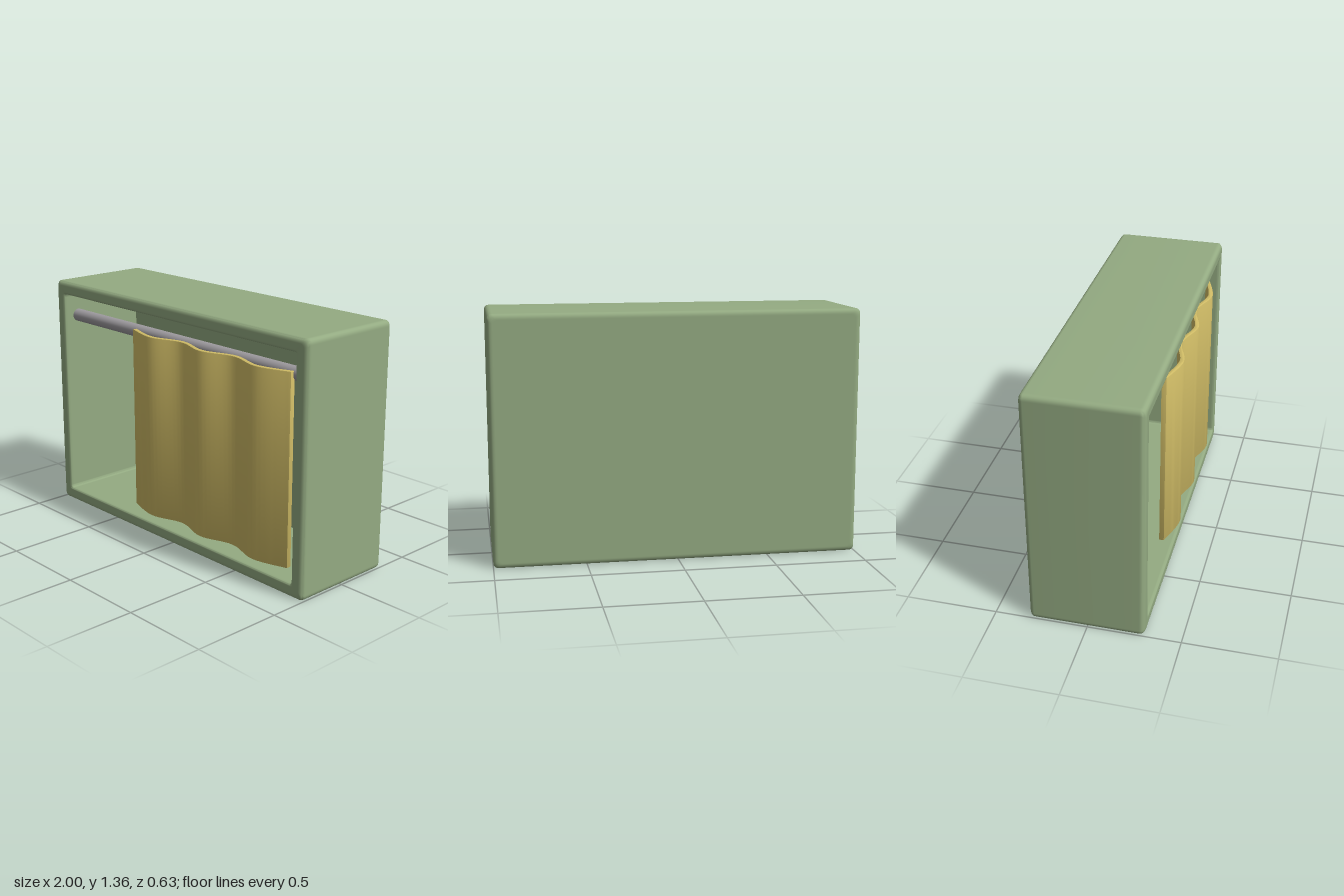
import * as THREE from 'three';
import { toCreasedNormals } from 'three/addons/utils/BufferGeometryUtils.js';

const HEIGHT = 1.355, BACK = -0.313, FRONT = 0.306, INNER_BACK = -0.23, WALL = 0.075;

// Rounded rectangle, counter-clockwise, inset from the outer case size.
function loop(inset, radius, z) {
  const hw = 1 - inset, hh = HEIGHT / 2 - inset, pts = [];
  const centre = [[1, 1], [-1, 1], [-1, -1], [1, -1]];
  centre.forEach(([sx, sy], k) => {
    const cx = sx * (hw - radius), cy = sy * (hh - radius);
    const at = (a, slide) => pts.push([
      cx + radius * Math.cos(a) + slide * Math.sin(a),
      cy + radius * Math.sin(a) - slide * Math.cos(a), z]);
    const a0 = k * Math.PI / 2;
    at(a0, 0.006);
    for (let i = 0; i <= 4; i++) at(a0 + i * Math.PI / 8, 0);
    at(a0 + Math.PI / 2, -0.006);
  });
  return pts;
}

// Hollow case: rows run from the back centre, round the rim, to the inner back.
function caseGeometry() {
  const R = 0.025, r = 0.012, rows = [];
  const add = (inset, z, radius) => rows.push(loop(inset, radius, z));
  const centre = z => rows.push(loop(0, R, 0).map(() => [0, 0, z]));
  const arc = (inset, z, rad, from, cornerRadius) => {
    for (let i = 0; i <= 4; i++) {
      const a = from + i * Math.PI / 8;
      add(inset - rad * Math.cos(a), z + rad * Math.sin(a), cornerRadius);
    }
  };
  centre(BACK);
  add(R + 0.006, BACK, R);
  arc(R, BACK + R, R, -Math.PI / 2, R);
  rows.splice(2, 5);
  for (let i = 0; i <= 4; i++) {
    const a = i * Math.PI / 8;
    add(R - R * Math.sin(a), BACK + R - R * Math.cos(a), R);
  }
  add(0, BACK + R + 0.006, R);
  add(0, FRONT - R - 0.006, R);
  for (let i = 0; i <= 4; i++) {
    const a = i * Math.PI / 8;
    add(R - R * Math.cos(a), FRONT - R + R * Math.sin(a), R);
  }
  add(R + 0.006, FRONT, R);
  add(WALL - r - 0.006, FRONT, R);
  for (let i = 0; i <= 4; i++) {
    const a = i * Math.PI / 8;
    add(WALL - r + r * Math.sin(a), FRONT - r + r * Math.cos(a), r);
  }
  add(WALL, FRONT - r - 0.006, r);
  add(WALL, INNER_BACK, r);
  centre(INNER_BACK);

  const n = rows[0].length, index = [];
  for (let i = 0; i < rows.length - 1; i++) {
    for (let j = 0; j < n; j++) {
      const k = (j + 1) % n;
      const a = i * n + j, b = i * n + k, c = b + n, d = a + n;
      if (i > 0) index.push(a, b, c, a, c, d);
      else index.push(a, c, d);
    }
  }
  const g = new THREE.BufferGeometry();
  g.setAttribute('position', new THREE.Float32BufferAttribute(rows.flat(2), 3));
  g.setIndex(index);
  return toCreasedNormals(g, 0.7);
}

// Wavy cloth: a sheet outline with three soft folds, extruded upwards.
function curtainGeometry() {
  const left = -0.35, width = 1.205, thick = 0.026, bevel = 0.005;
  const knots = [];
  for (let i = 0; i <= 6; i++) {
    knots.push(new THREE.Vector2(left + width * i / 6, -(i % 2 ? 0.313 : 0.262)));
  }
  const front = new THREE.SplineCurve(knots).getPoints(48);
  const back = front.map(p => new THREE.Vector2(p.x, p.y + thick)).reverse();
  const g = new THREE.ExtrudeGeometry(new THREE.Shape([...front, ...back]), {
    depth: 1.04 - 2 * bevel, bevelEnabled: true, bevelThickness: bevel,
    bevelSize: bevel, bevelOffset: -bevel, bevelSegments: 2,
  });
  g.rotateX(-Math.PI / 2);
  g.translate(0, 0.125 + bevel, 0);
  return toCreasedNormals(g, 0.6);
}

export function createModel() {
  const material = (name, color) => {
    const m = new THREE.MeshStandardMaterial({ color });
    m.name = name;
    return m;
  };
  const green = material('sage green', 0x94ab82);
  const yellow = material('mustard cloth', 0xd0bc66);
  const grey = material('grey metal', 0x9e9b9f);

  const model = new THREE.Group();
  model.name = 'curtainedCabinet';
  const add = (name, geometry, mat) => {
    const mesh = new THREE.Mesh(geometry, mat);
    mesh.name = name;
    model.add(mesh);
    return mesh;
  };

  // Open-fronted case
  add('case', caseGeometry(), green).position.y = HEIGHT / 2;

  // Rail between the side walls
  const rail = add('curtainRail', new THREE.CylinderGeometry(0.036, 0.036, 1.86, 32), grey);
  rail.rotation.z = Math.PI / 2;
  rail.position.set(0, 1.145, 0.21);

  // Curtain hanging in front of the rail
  add('curtain', curtainGeometry(), yellow);
  return model;
}
